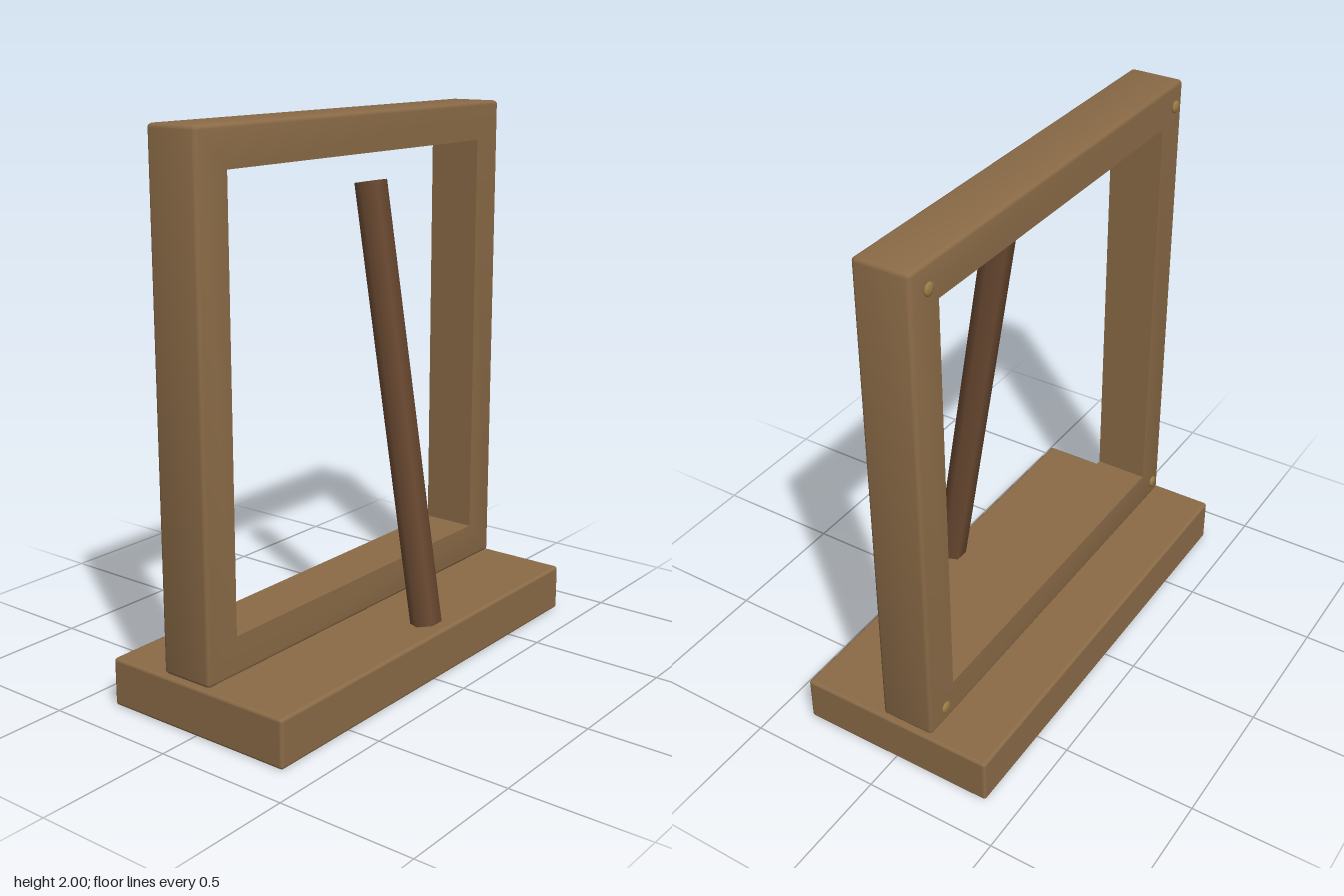
import * as THREE from 'three';
import { RoundedBoxGeometry } from 'three/addons/geometries/RoundedBoxGeometry.js';
import { toCreasedNormals } from 'three/addons/utils/BufferGeometryUtils.js';

const wood = new THREE.MeshStandardMaterial({ color: 0x8b6b47 });
const darkWood = new THREE.MeshStandardMaterial({ color: 0x6b4a32 });
const brass = new THREE.MeshStandardMaterial({ color: 0x9a7b45 });

function part(name, geometry, material, x, y, z) {
  const mesh = new THREE.Mesh(geometry, material);
  mesh.name = name;
  mesh.position.set(x, y, z);
  return mesh;
}

// Rectangular frame: rounded outer edges, sharp opening, swept as one closed loop
function frameGeometry(outerX, outerY, innerX, innerY, depth, r, steps = 3) {
  const h = depth / 2;
  const rings = [];
  for (let corner = 0; corner < 4; corner++) {
    const sx = corner === 0 || corner === 3 ? 1 : -1;
    const sy = corner < 2 ? 1 : -1;
    for (let i = 0; i <= steps; i++) {
      const a = (corner + i / steps) * Math.PI / 2;
      const ring = [[sx * innerX, sy * innerY, -h], [sx * innerX, sy * innerY, h]];
      // front edge, then back edge, each rounded by a quarter circle
      for (const side of [1, -1]) {
        for (let j = 0; j <= steps; j++) {
          const b = (side > 0 ? 1 - j / steps : j / steps) * Math.PI / 2;
          const out = r * Math.cos(b);
          ring.push([
            sx * (outerX - r) + out * Math.cos(a),
            sy * (outerY - r) + out * Math.sin(a),
            side * (h - r + r * Math.sin(b)),
          ]);
        }
      }
      rings.push(ring);
    }
  }
  const positions = [];
  const triangle = (...points) => {
    const [p, q, s] = points.map((v) => new THREE.Vector3(...v));
    if (q.sub(p).cross(s.sub(p)).length() > 1e-9) positions.push(...points.flat());
  };
  rings.forEach((ring, i) => {
    const next = rings[(i + 1) % rings.length];
    ring.forEach((a, j) => {
      const k = (j + 1) % ring.length;
      triangle(a, ring[k], next[j]);
      triangle(ring[k], next[k], next[j]);
    });
  });
  const geometry = new THREE.BufferGeometry();
  geometry.setAttribute('position', new THREE.Float32BufferAttribute(positions, 3));
  return toCreasedNormals(geometry, 0.7);
}

export function createModel() {
  const model = new THREE.Group();
  model.name = 'standingFrame';

  // Base slab
  model.add(part('base', new RoundedBoxGeometry(1.7, 0.176, 0.76, 3, 0.012), wood, 0, 0.088, 0));

  // Upright frame
  model.add(part('frame', frameGeometry(0.835, 0.911, 0.695, 0.77, 0.205, 0.014), wood, 0, 1.089, -0.048));

  // Six-sided rod leaning back against the frame plane
  const rod = part('leaningRod',
    new THREE.CylinderGeometry(0.057, 0.057, 1.58, 6, 1, false, Math.PI / 2), darkWood, 0, 0.987, 0.205);
  rod.rotation.x = -0.162;
  model.add(rod);

  // Flattened studs at the back corners
  const studs = new THREE.Group();
  studs.name = 'backStuds';
  for (const x of [-0.76, 0.76]) {
    for (const y of [0.26, 1.925]) {
      const stud = part('stud', new THREE.SphereGeometry(0.023, 12, 8), brass, x, y, -0.163);
      stud.scale.z = 0.4;
      studs.add(stud);
    }
  }
  model.add(studs);

  return model;
}
